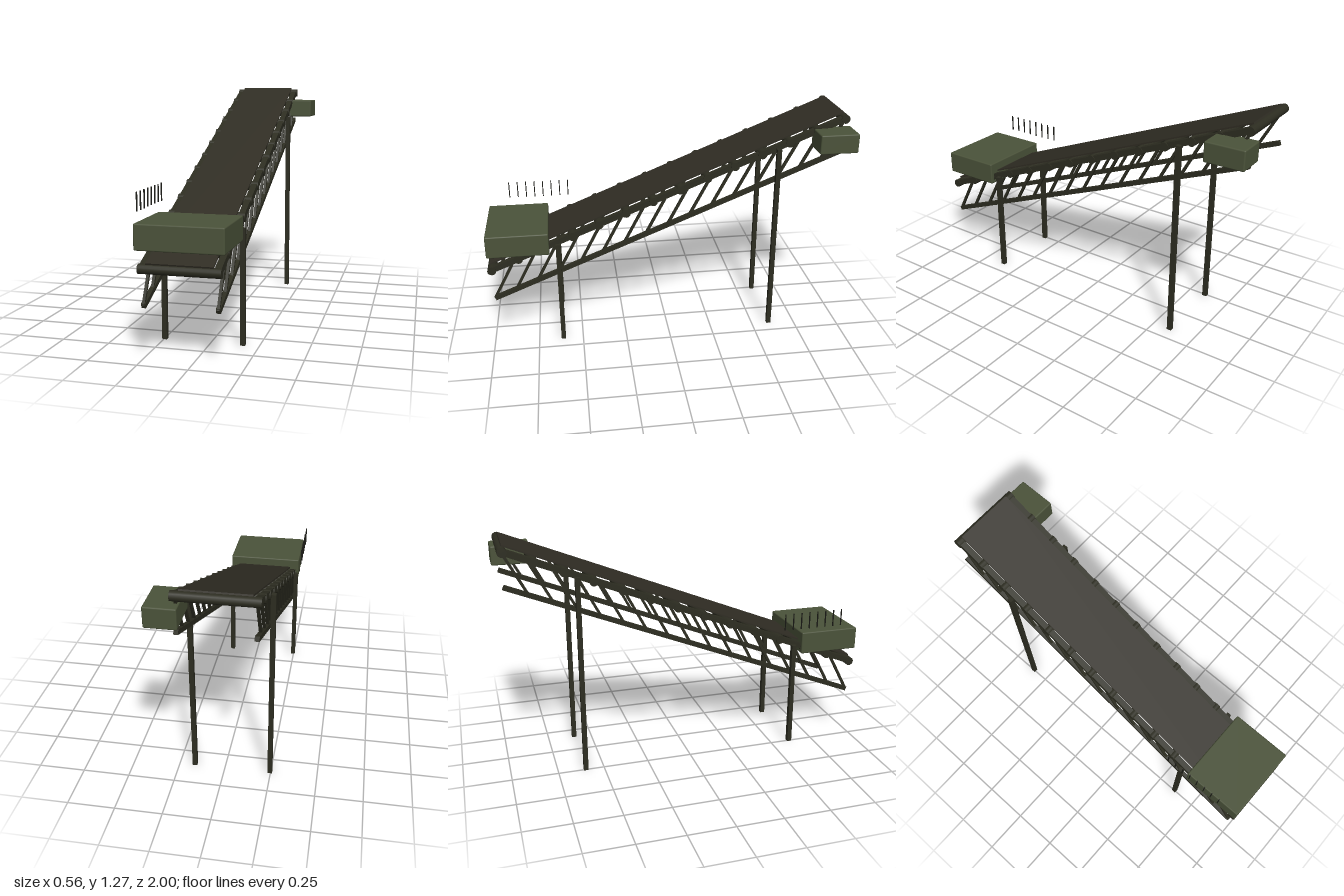
import * as THREE from 'three';
import { RoundedBoxGeometry } from 'three/addons/geometries/RoundedBoxGeometry.js';

export function createModel() {
  const model = new THREE.Group();
  model.name = 'conveyor';

  const mat = (name, color) => {
    const m = new THREE.MeshStandardMaterial({ color });
    m.name = name;
    return m;
  };
  const frameMat = mat('dark olive steel', 0x2d2d21);
  const beltMat = mat('dark brown rubber', 0x302d24);
  const housingMat = mat('olive green paint', 0x4b533a);
  const rodMat = mat('near black', 0x1c1c17);

  const add = (name, geometry, material, x, y, z, parent = model) => {
    const mesh = new THREE.Mesh(geometry, material);
    mesh.name = name;
    mesh.position.set(x, y, z);
    parent.add(mesh);
    return mesh;
  };

  const midX = -0.04;
  const slope = 0.78 / 1.94;
  const length = Math.hypot(0.78, 1.94);
  const topY = z => 0.85 - slope * (z - 0.01);
  const bottomY = z => topY(z) - 0.18;

  // Inclined deck: belt, rollers and upper rails in a tilted frame
  const deck = new THREE.Group();
  deck.name = 'inclinedDeck';
  deck.position.set(midX, 0.85, 0.01);
  deck.rotation.x = Math.atan(slope);
  model.add(deck);

  add('belt', new THREE.BoxGeometry(0.325, 0.008, length + 0.01), beltMat, 0, 0.026, -0.005, deck);

  const rollerGeo = new THREE.CylinderGeometry(0.024, 0.024, 0.4, 16).rotateZ(Math.PI / 2);
  const rollers = 14;
  for (let i = 0; i < rollers; i++) {
    add('roller', rollerGeo, frameMat, 0, -0.002, length * (0.5 - i / (rollers - 1)), deck);
  }

  for (const side of [-1, 1]) {
    add('upperRail', new THREE.BoxGeometry(0.032, 0.032, length), frameMat, side * 0.18, 0, 0, deck);
    // Lower rail runs parallel, vertically below the deck
    const lower = add('lowerRail', new THREE.BoxGeometry(0.022, 0.024, length), frameMat,
      midX + side * 0.18, 0.67, 0.005);
    lower.rotation.x = Math.atan(slope);

    // Leaning truss braces between the rails
    const bays = 16, step = 1.94 / bays;
    for (let i = 0; i < bays; i++) {
      const z = 0.975 - i * step;
      const a = new THREE.Vector3(midX + side * 0.18, bottomY(z), z);
      const b = new THREE.Vector3(midX + side * 0.18, topY(z - step), z - step);
      const dir = b.clone().sub(a);
      const mid = a.clone().add(b).multiplyScalar(0.5);
      const brace = add('brace', new THREE.BoxGeometry(0.014, dir.length(), 0.014), frameMat, mid.x, mid.y, mid.z);
      brace.quaternion.setFromUnitVectors(new THREE.Vector3(0, 1, 0), dir.normalize());
    }

    // Support legs
    for (const [z, h] of [[0.612, 0.6], [-0.6, 1.09]]) {
      add('leg', new THREE.BoxGeometry(0.025, h, 0.025), frameMat, midX + side * 0.206, h / 2, z);
    }
  }

  // Feed housing at the low end and drive housing at the high end
  add('feedHousing', new RoundedBoxGeometry(0.434, 0.126, 0.34, 2, 0.007), housingMat, -0.039, 0.608, 0.83);
  add('driveHousing', new RoundedBoxGeometry(0.155, 0.105, 0.21, 2, 0.007), housingMat, 0.2025, 1.14, -0.895);

  // Row of thin upright rods beside the feed housing
  const rodGeo = new THREE.BoxGeometry(0.006, 0.093, 0.005);
  for (let i = 0; i < 8; i++) {
    add('controlRod', rodGeo, rodMat, -0.281, 0.753, 0.88 - i * 0.0486);
  }

  return model;
}
